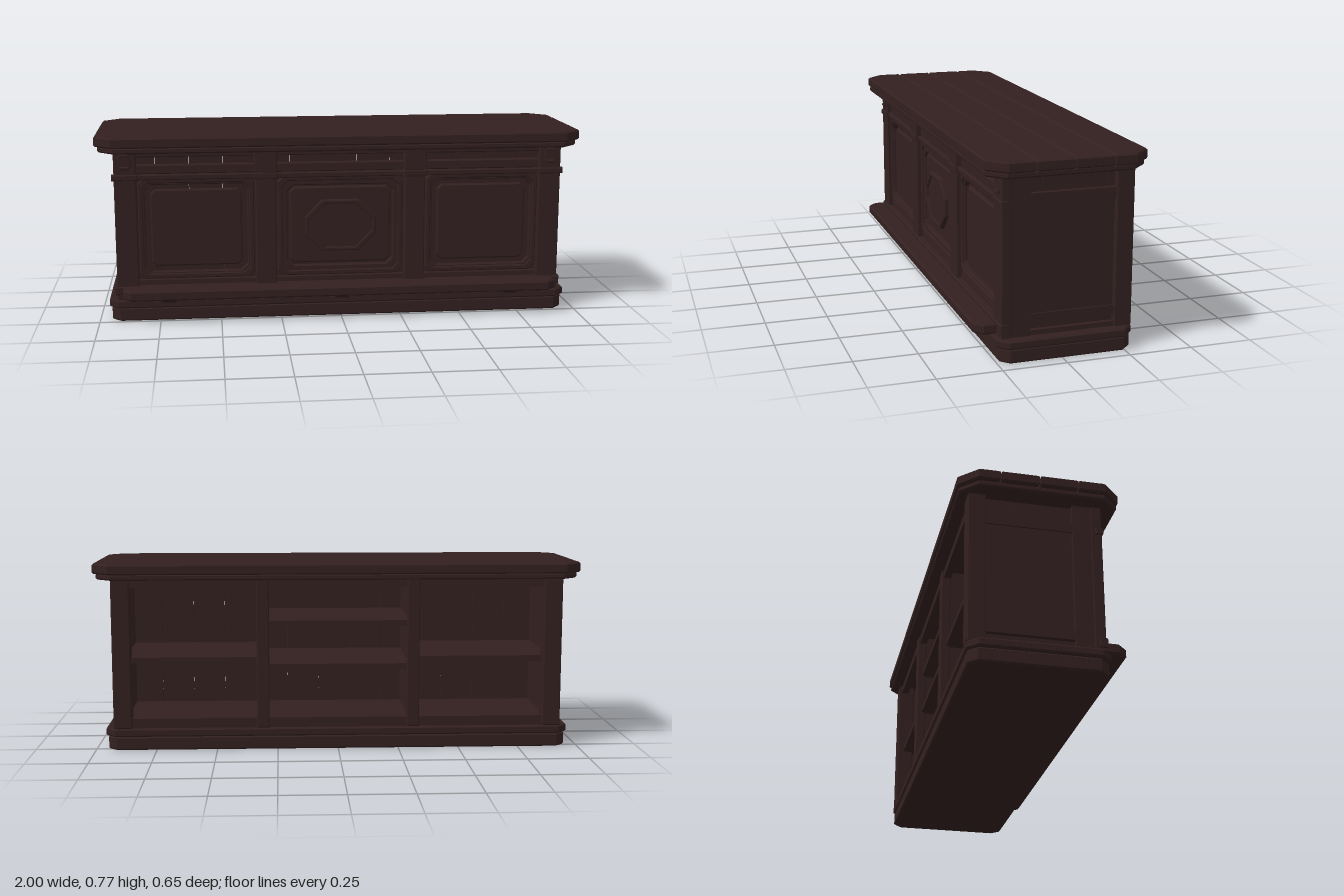
import * as THREE from 'three';

const wood = new THREE.MeshStandardMaterial({ color: 0x332020 });
wood.name = 'dark wood';

// Rectangle outline with cut corners: c0 at the low edge, c1 at the high edge
function outline(u0, v0, u1, v1, c0 = 0, c1 = c0, Type = THREE.Shape) {
  const pts = [];
  const add = (x, y) => pts.push(new THREE.Vector2(x, y));
  if (c0) { add(u0, v0 + c0); add(u0 + c0, v0); add(u1 - c0, v0); add(u1, v0 + c0); }
  else { add(u0, v0); add(u1, v0); }
  if (c1) { add(u1, v1 - c1); add(u1 - c1, v1); add(u0 + c1, v1); add(u0, v1 - c1); }
  else { add(u1, v1); add(u0, v1); }
  return new Type(pts);
}

// Extrusion with chamfered edges, from depth 0 to d, kept inside its outline
function bevelled(shape, d, b) {
  const g = new THREE.ExtrudeGeometry(shape, {
    depth: d - 2 * b, bevelEnabled: b > 0, bevelThickness: b, bevelSize: b, bevelOffset: -b, bevelSegments: 1,
  });
  return g.translate(0, 0, b);
}

export function createModel() {
  const model = new THREE.Group();
  model.name = 'counter';

  const put = (name, geometry) => {
    const mesh = new THREE.Mesh(geometry, wood);
    mesh.name = name;
    model.add(mesh);
  };
  // Horizontal slab with an outline in x and z
  const slab = (name, x0, x1, y0, y1, z0, z1, c0 = 0, c1 = c0, b = 0.006) =>
    put(name, bevelled(outline(x0, z0, x1, z1, c0, c1), y1 - y0, b).rotateX(Math.PI / 2).translate(0, y1, 0));
  // Upright piece facing the front, edges chamfered
  const front = (name, x0, x1, y0, y1, z0, z1, c = 0, b = 0.004) =>
    put(name, bevelled(outline(x0, y0, x1, y1, c), z1 - z0, b).translate(0, 0, z0));
  const box = (name, x0, x1, y0, y1, z0, z1) =>
    put(name, new THREE.BoxGeometry(x1 - x0, y1 - y0, z1 - z0).translate((x0 + x1) / 2, (y0 + y1) / 2, (z0 + z1) / 2));
  // Flat frame: an outline with a cut-corner opening
  const frame = (name, x, hw, y0, y1, w, z0, z1, c) => {
    const s = outline(x - hw, y0, x + hw, y1, c);
    s.holes.push(outline(x - hw + w, y0 + w, x + hw - w, y1 - w, c, c, THREE.Path));
    put(name, bevelled(s, z1 - z0, 0.004).translate(0, 0, z0));
  };

  // Plinth
  slab('plinth', -0.95, 0.95, 0, 0.056, -0.28, 0.24, 0.035);
  slab('plinthMoulding', -0.96, 0.96, 0.056, 0.09, -0.285, 0.25, 0.04);

  // Worktop: support board and four planks
  slab('topMoulding', -0.985, 0.985, 0.705, 0.73, -0.318, 0.295, 0.065);
  slab('topPlank', -1, 1, 0.728, 0.77, -0.325, -0.174, 0.07, 0);
  slab('topPlank', -1, 1, 0.728, 0.77, -0.17, -0.024);
  slab('topPlank', -1, 1, 0.728, 0.77, -0.02, 0.125);
  slab('topPlank', -1, 1, 0.728, 0.77, 0.129, 0.3, 0, 0.07);

  // Planked front wall
  const plankWidth = 1.8 / 13;
  for (let i = 0; i < 13; i++) {
    const x = -0.9 + i * plankWidth;
    box('frontPlank', x + 0.001, x + plankWidth - 0.001, 0.09, 0.705, 0.178, 0.19);
  }

  // Front mouldings, with the planks showing between the frieze strips
  front('friezeTopStrip', -0.9, 0.9, 0.68, 0.705, 0.185, 0.22);
  front('friezeLowerStrip', -0.9, 0.9, 0.61, 0.648, 0.185, 0.214);
  front('waistMoulding', -0.9, 0.9, 0.587, 0.61, 0.185, 0.228);
  front('bottomMoulding', -0.9, 0.9, 0.11, 0.145, 0.19, 0.238);
  box('frontBottomRail', -0.9, 0.9, 0.09, 0.165, 0.19, 0.212);

  // Front pilasters with capitals
  for (const x of [-0.31, 0.31]) {
    front('pilaster', x - 0.042, x + 0.042, 0.09, 0.705, 0.185, 0.233);
    front('pilasterCapital', x - 0.047, x + 0.047, 0.61, 0.705, 0.19, 0.237);
    front('pilasterCap', x - 0.05, x + 0.05, 0.585, 0.612, 0.19, 0.24);
    front('pilasterBase', x - 0.046, x + 0.046, 0.09, 0.112, 0.19, 0.237);
  }

  // Front panels: cut-corner frames around raised fields, a double frame in the middle
  for (const x of [-0.595, 0, 0.595]) {
    const hw = x ? 0.237 : 0.26;
    frame('panelFrame', x, hw, 0.172, 0.592, 0.02, 0.185, 0.218, 0.022);
    frame('panelInnerFrame', x, hw - 0.014, 0.186, 0.578, x ? 0.014 : 0.026, 0.185, 0.21, 0.025);
    front('raisedPanel', x - hw + 0.05, x + hw - 0.05, 0.222, 0.544, 0.185, 0.206, 0.018, 0.006);
  }

  // Octagonal medallion on the middle panel
  front('medallion', -0.148, 0.148, 0.275, 0.49, 0.2, 0.218, 0.074, 0.005);
  frame('medallionRim', 0, 0.148, 0.275, 0.49, 0.016, 0.21, 0.226, 0.07);

  // Foot rest and its brackets
  slab('footRest', -0.9, 0.9, 0.104, 0.146, 0.242, 0.325, 0, 0.035, 0.007);
  for (const x of [-0.71, 0, 0.71]) {
    const s = new THREE.Shape([[0.22, 0.088], [0.25, 0.082], [0.285, 0.088], [0.31, 0.106], [0.22, 0.106]]
      .map(([z, y]) => new THREE.Vector2(-z, y)));
    put('footRestBracket', bevelled(s, 0.056, 0).rotateY(Math.PI / 2).translate(x - 0.028, 0, 0));
  }

  // Both ends
  for (const side of [-1, 1]) {
    const end = (make, name, xIn, xOut, ...rest) =>
      make(name, Math.min(side * xIn, side * xOut), Math.max(side * xIn, side * xOut), ...rest);
    end(front, 'cornerPost', 0.835, 0.925, 0.09, 0.705, 0.19, 0.233);
    end(front, 'cornerCap', 0.83, 0.934, 0.587, 0.612, 0.206, 0.238);
    end(front, 'cornerBase', 0.83, 0.934, 0.11, 0.145, 0.206, 0.238);
    end(front, 'cornerOrnament', 0.855, 0.908, 0.63, 0.698, 0.228, 0.237, 0.014, 0.003);
    for (const y of [0.64, 0.69])
      end(front, 'ornamentBead', 0.862, 0.901, y - 0.006, y + 0.006, 0.232, 0.242, 0, 0.003);
    end(box, 'sideStile', 0.885, 0.921, 0.09, 0.705, 0.12, 0.19);
    end(front, 'backPost', 0.85, 0.925, 0.09, 0.705, -0.283, -0.213);
    end(box, 'sideRail', 0.885, 0.917, 0.588, 0.63, -0.213, 0.12);
    end(box, 'sideRail', 0.885, 0.917, 0.135, 0.173, -0.213, 0.12);
    end(box, 'sideFootRail', 0.885, 0.917, 0.09, 0.109, -0.213, 0.12);
    end(box, 'sidePanel', 0.885, 0.91, 0.173, 0.588, -0.21, 0.117);
    // Vertical planks showing above and below the side panel
    for (const [z0, z1] of [[-0.213, -0.185], [-0.184, -0.1], [-0.099, -0.016], [-0.015, 0.068], [0.069, 0.18]])
      end(box, 'sidePlank', 0.88, 0.898, 0.09, 0.705, z0, z1);
  }

  // Open back: dividers, floor, rails and shelves
  for (const x of [-0.31, 0.31]) {
    box('divider', x - 0.012, x + 0.012, 0.09, 0.705, -0.26, 0.178);
    front('dividerPost', x - 0.026, x + 0.026, 0.09, 0.705, -0.278, -0.24);
  }
  box('cabinetFloor', -0.885, 0.885, 0.09, 0.115, -0.25, 0.178);
  box('backBottomRail', -0.86, 0.86, 0.09, 0.13, -0.27, -0.245);
  box('backTopRail', -0.86, 0.86, 0.67, 0.705, -0.27, -0.24);
  for (const [x0, x1, y] of [[-0.88, -0.31, 0.37], [-0.31, 0.31, 0.34], [-0.31, 0.31, 0.52], [0.31, 0.88, 0.37]])
    box('shelf', x0, x1, y - 0.012, y + 0.012, -0.255, 0.178);

  return model;
}
